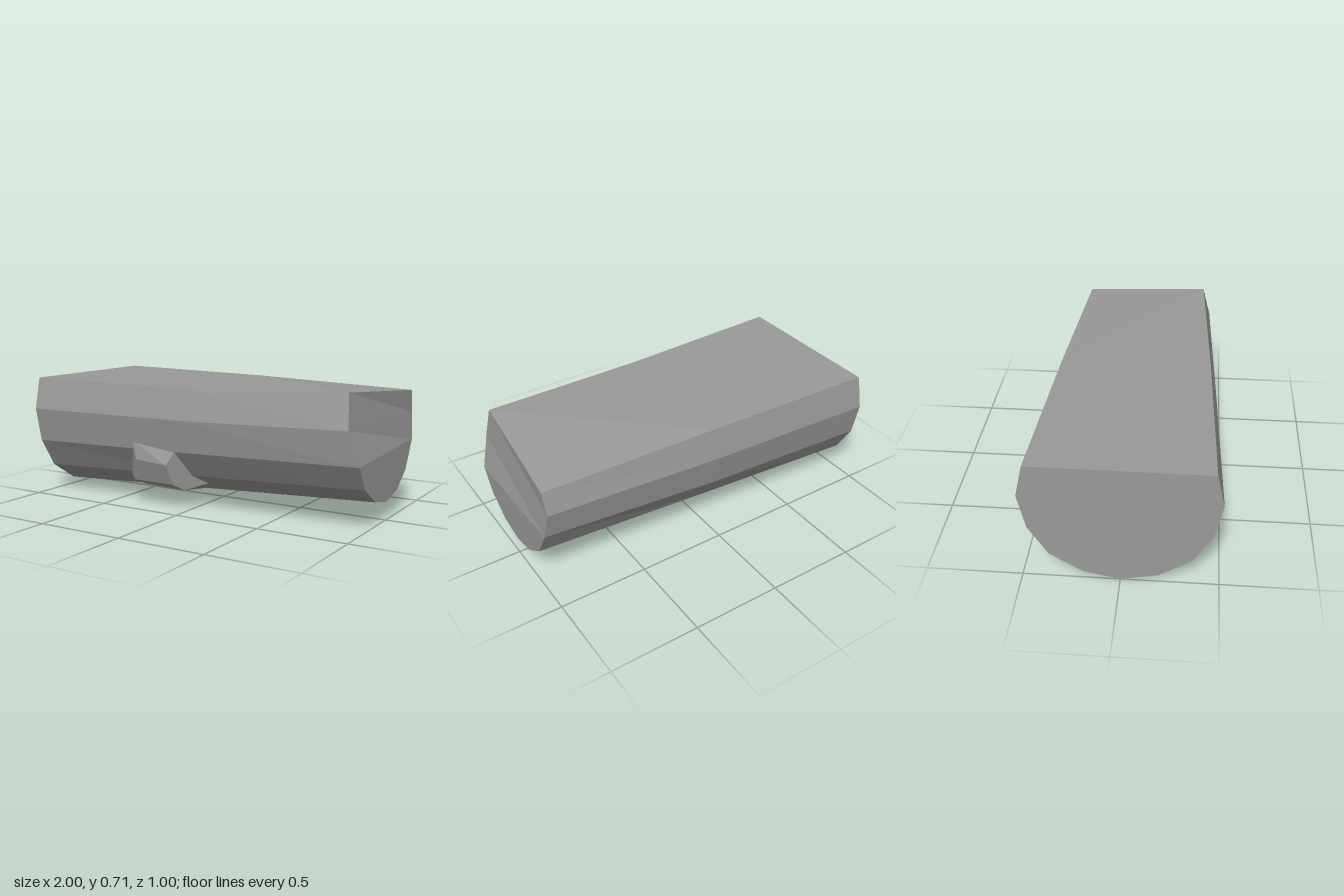
import * as THREE from 'three';
import { ConvexGeometry } from 'three/addons/geometries/ConvexGeometry.js';

const bark = new THREE.MeshStandardMaterial({ color: 0x999999, flatShading: true });
bark.name = 'plain grey';

// Cross-sections run from the front top edge, under the log, to the back top edge.
const mirrorRing = (x, half) => [
  ...half.map(([z, y]) => [x, y, z]),
  ...half.slice(0, -1).reverse().map(([z, y]) => [x, y, -z]),
];

function halfLogGeometry() {
  const wide = mirrorRing(-1, [[0.46, 0.69], [0.5, 0.51], [0.46, 0.315], [0.36, 0.15], [0.19, 0.04], [0, 0]]);
  const middle = mirrorRing(0, [[0.42, 0.68], [0.457, 0.51], [0.422, 0.33], [0.325, 0.185], [0.172, 0.085], [0, 0.045]]);
  // Narrow end, cut unevenly
  const narrow = [
    [0.93, 0.712, 0.365], [0.95, 0.53, 0.41], [1, 0.35, 0.38], [1, 0.22, 0.295], [1, 0.13, 0.155], [1, 0.1, 0],
    [1, 0.13, -0.155], [1, 0.22, -0.285], [1, 0.38, -0.375], [0.985, 0.53, -0.405], [0.99, 0.655, -0.37],
  ];
  const rings = [wide, middle, narrow];
  const n = wide.length;
  const pos = [];
  const quad = (a, b, c, d) => pos.push(...a, ...b, ...c, ...a, ...c, ...d);

  // Curved underside and flat top
  for (let i = 0; i < 2; i++) {
    for (let k = 0; k < n; k++) {
      const j = (k + 1) % n;
      quad(rings[i][k], rings[i][j], rings[i + 1][j], rings[i + 1][k]);
    }
  }
  // End faces, in horizontal strips
  for (let k = 0; k < 5; k++) {
    const [a, b, c, d] = [k, k + 1, n - 2 - k, n - 1 - k];
    quad(narrow[a], narrow[b], narrow[c], narrow[d]);
    quad(wide[d], wide[c], wide[b], wide[a]);
  }
  const g = new THREE.BufferGeometry();
  g.setAttribute('position', new THREE.Float32BufferAttribute(pos, 3));
  g.computeVertexNormals();
  return g;
}

// Short branch stub growing out of the lower front
function stubGeometry() {
  const points = [
    [-0.33, 0.37, 0.44], [-0.06, 0.33, 0.422],                          // upper root
    [-0.42, 0.16, 0.335], [0.04, 0.13, 0.24],                           // side roots
    [-0.32, 0.062, 0.19], [-0.02, 0.085, 0.18],                         // lower root
    [-0.3, 0.27, 0.452], [-0.1, 0.255, 0.452],                          // upper tip
    [-0.35, 0.14, 0.405], [-0.3, 0.115, 0.37], [-0.04, 0.105, 0.36],    // lower tip
    [-0.08, 0.14, 0.41],
    [-0.2, 0.25, 0.25],                                                 // hidden core
  ];
  return new ConvexGeometry(points.map((p) => new THREE.Vector3(...p)));
}

export function createModel() {
  const group = new THREE.Group();
  group.name = 'halfLog';
  for (const [name, geometry] of [['log', halfLogGeometry()], ['branchStub', stubGeometry()]]) {
    const mesh = new THREE.Mesh(geometry, bark);
    mesh.name = name;
    group.add(mesh);
  }
  return group;
}
